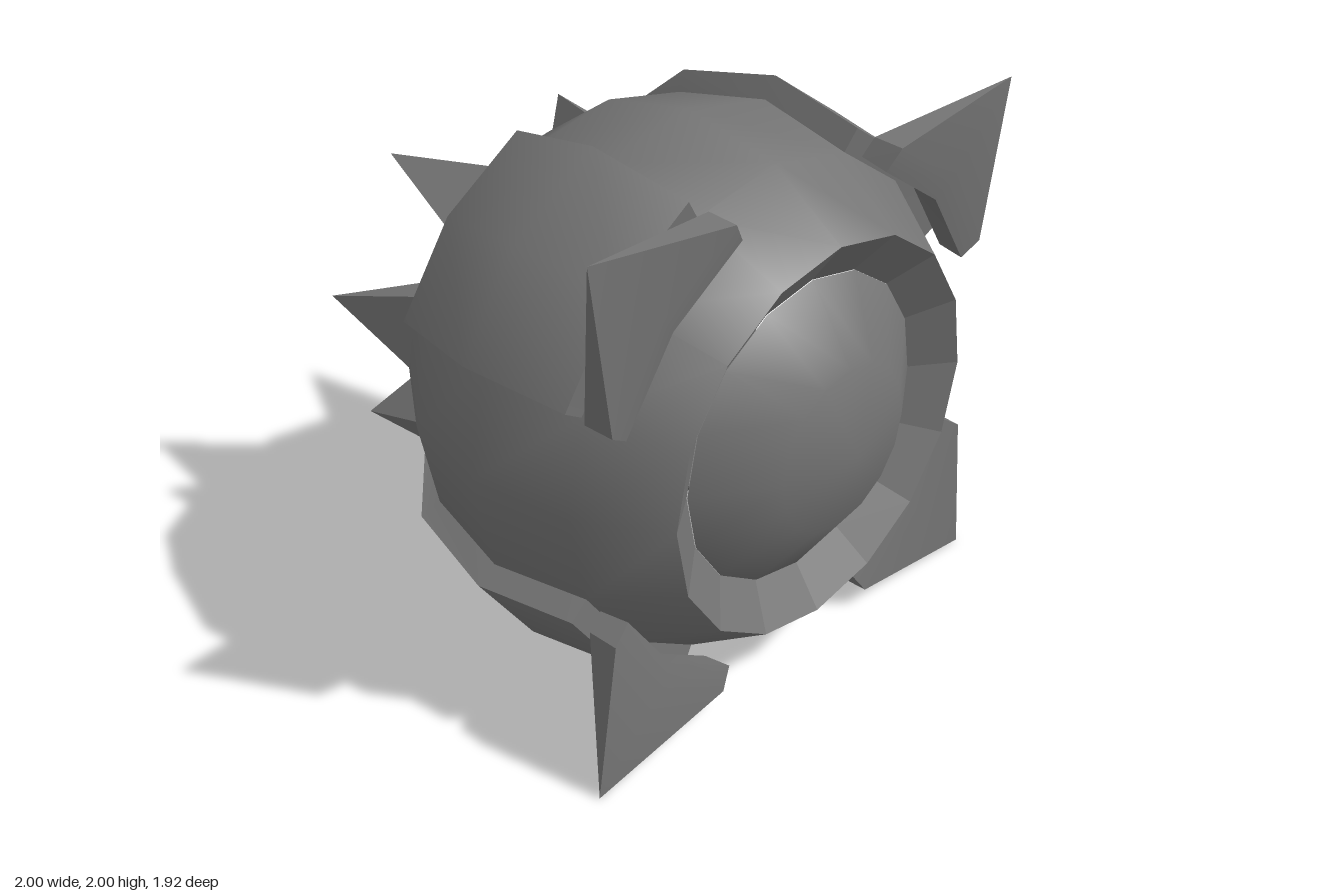
import * as THREE from 'three';
import { toCreasedNormals } from 'three/addons/utils/BufferGeometryUtils.js';
import { ConvexGeometry } from 'three/addons/geometries/ConvexGeometry.js';

const STEP = Math.PI / 8; // sixteen sides around the front-back axis
const CENTRE = 0.16;
const smooth = new THREE.MeshStandardMaterial({ color: 0x747474 });
const flat = new THREE.MeshStandardMaterial({ color: 0x747474, flatShading: true });

// Point at radius r and angle step k, pushed out along the normal of the nearest facet
function polar(r, k, z, push = 0) {
  const a = k * STEP, n = THREE.MathUtils.clamp(k, 1.5, 2.5) * STEP;
  return new THREE.Vector3(
    r * Math.cos(a) + push * Math.cos(n), r * Math.sin(a) + push * Math.sin(n), z);
}

// Sphere profile point: n steps from the back pole
const ring = (n, R = 1, c = CENTRE) => [R * Math.sin(n * STEP), c - R * Math.cos(n * STEP)];

// Surface of revolution about z, profile given from back to front as [radius, z]
function turned(profile) {
  const points = profile.map(([r, z]) => new THREE.Vector2(Math.max(r, 0), z));
  return new THREE.LatheGeometry(points, 16).rotateX(Math.PI / 2);
}

// Shade outward-facing corners as a true sphere about the given centre
function roundNormals(geometry, centreZ = CENTRE) {
  const { position, normal } = geometry.attributes;
  const p = new THREE.Vector3(), n = new THREE.Vector3();
  for (let i = 0; i < position.count; i++) {
    p.fromBufferAttribute(position, i);
    p.z -= centreZ;
    p.normalize();
    if (n.fromBufferAttribute(normal, i).dot(p) > 0.8) normal.setXYZ(i, p.x, p.y, p.z);
  }
  return geometry;
}

// Closed skin through loops of equal length, capped at both ends
function loft(loops) {
  const positions = [];
  const n = loops[0].length;
  const tri = (...t) => {
    if (new THREE.Triangle(...t).getArea() > 1e-6) t.forEach((p) => positions.push(p.x, p.y, p.z));
  };
  const quad = (a, b, c, d) => { tri(a, b, c); tri(a, c, d); };
  for (let s = 0; s < loops.length - 1; s++) {
    for (let i = 0; i < n; i++) {
      const j = (i + 1) % n;
      quad(loops[s][i], loops[s][j], loops[s + 1][j], loops[s + 1][i]);
    }
  }
  const first = loops[0], last = loops[loops.length - 1];
  for (let i = 0; i < n / 2 - 1; i++) {
    quad(last[i], last[i + 1], last[n - 2 - i], last[n - 1 - i]);
    quad(first[n - 1 - i], first[n - 2 - i], first[i + 1], first[i]);
  }
  const geometry = new THREE.BufferGeometry();
  geometry.setAttribute('position', new THREE.Float32BufferAttribute(positions, 3));
  geometry.computeVertexNormals();
  return toCreasedNormals(geometry, 0.5);
}

export function createModel() {
  const model = new THREE.Group();
  model.name = 'spikedBall';
  const ball = new THREE.Group();
  ball.name = 'ball';
  ball.position.y = 1;
  model.add(ball);
  const add = (name, geometry, material) => {
    const mesh = new THREE.Mesh(geometry, material);
    mesh.name = name;
    ball.add(mesh);
    return mesh;
  };

  // Round shell with a sliced front, sloping rim, and the dome set inside
  const shell = turned([...[0, 1, 2, 3, 4, 5].map((n) => ring(n)), [0.73, 0.83]]);
  add('shell', roundNormals(shell), smooth);
  add('rim', turned([[0.73, 0.83], [0.573, 0.72]]).toNonIndexed(), flat);
  const dome = turned([6, 7, 8].map((n) => ring(n, 0.81, 0.15)));
  add('frontDome', roundNormals(dome, 0.15), smooth);

  // Raised plate: flush at the back, lifted towards the front; rows are [ring, lift, z shift]
  const plateRows = [[2, 0, 0], [3, 0.08, -0.025], [4, 0.09, 0], [5, 0.09, 0.01]];
  const plate = roundNormals(loft(plateRows.map(([n, lift, dz]) => {
    const [r, z] = ring(n);
    return [
      ...[1, 2, 3].map((k) => polar(r, k, z + dz, lift)),
      ...[3, 2, 1].map((k) => polar(r * 0.998, k, z)),
    ];
  })));

  // Corner spike: short curved block that narrows to a point
  const spikeTip = new THREE.Vector3(1, 1, 0.745);
  const corner = loft([
    [...[1, 2, 3].map((k) => polar(0.93, k, 0.615)), ...[3, 2, 1].map((k) => polar(0.91, k, 0.725))],
    [...[1, 2, 3].map((k) => polar(0.925, k, 0.63, 0.08)), ...[3, 2, 1].map((k) => polar(0.91, k, 0.745, 0.09))],
    Array(6).fill(spikeTip),
  ]);

  for (let q = 0; q < 4; q++) {
    add('raisedPlate', plate, smooth).rotation.z = q * Math.PI / 2;
    add('cornerSpike', corner, smooth).rotation.z = q * Math.PI / 2;
  }

  // Back spikes: three on each side, each rising from one facet of the shell
  const [rOut, zOut] = ring(2);
  const [rIn, zIn] = ring(1);
  for (const side of [1, -1]) {
    for (const k of [0, 2, -2]) {
      const points = [
        polar(rOut, k, zOut), polar(rOut, k + 1, zOut),
        polar(rIn, k, zIn), polar(rIn, k + 1, zIn),
        polar(0.747, k + 0.5, -0.96),
      ];
      points.forEach((p) => { p.x *= side; });
      add('backSpike', new ConvexGeometry(points), flat);
    }
  }
  return model;
}
